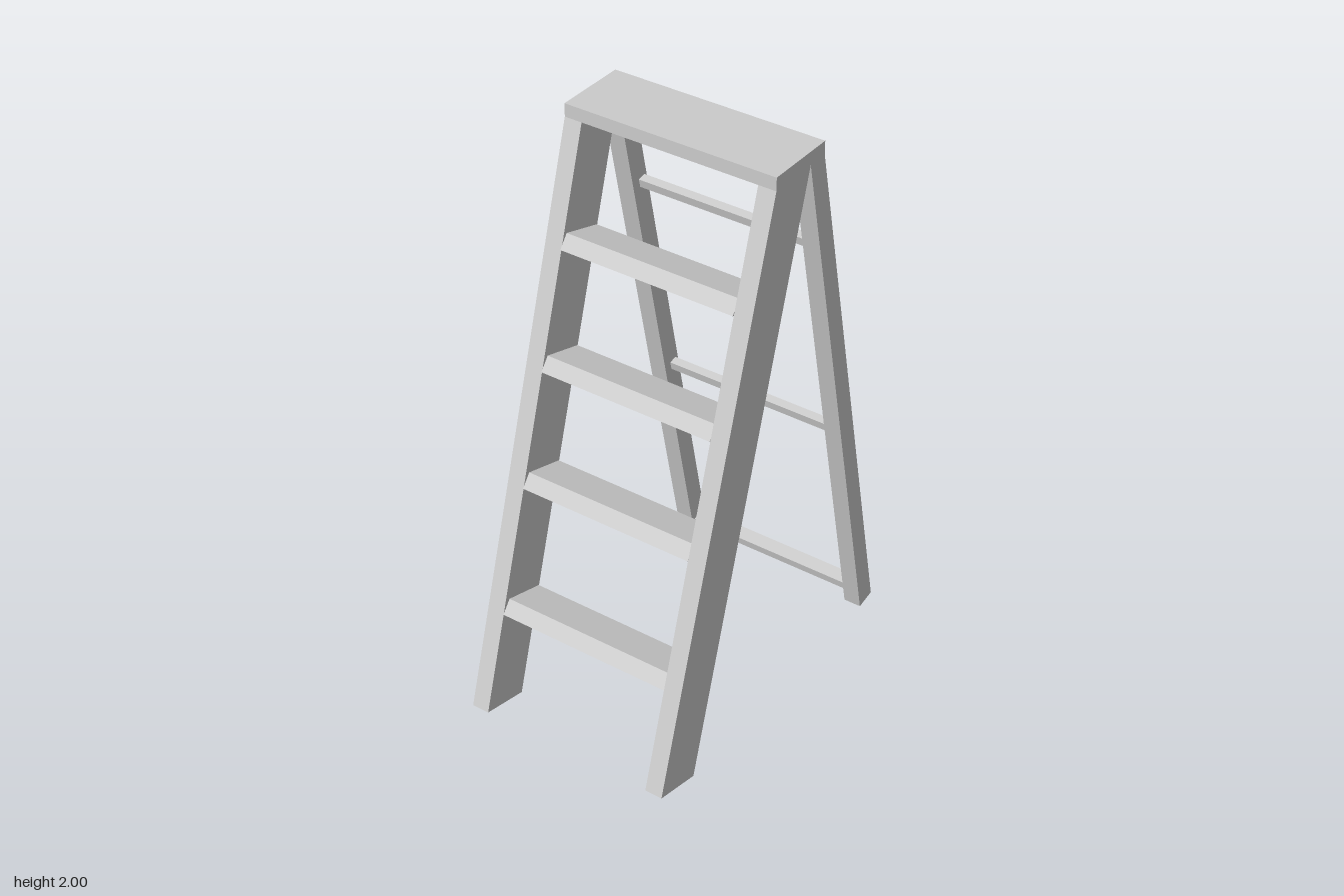
import * as THREE from 'three';

const material = new THREE.MeshStandardMaterial({ color: 0xcccccc, flatShading: true });
const OUTER = 0.375; // half the ladder's width
const RAIL = 0.062; // thickness of a side rail

// Extrude a (z, y) outline sideways, centred on x
function profile(name, points, width, x = 0) {
  const shape = new THREE.Shape(points.map(([z, y]) => new THREE.Vector2(z, y)));
  const geometry = new THREE.ExtrudeGeometry(shape, { depth: width, bevelEnabled: false });
  geometry.translate(0, 0, -width / 2).rotateY(-Math.PI / 2);
  const mesh = new THREE.Mesh(geometry, material);
  mesh.name = name;
  mesh.position.x = x;
  return mesh;
}

export function createModel() {
  const group = new THREE.Group();
  group.name = 'stepladder';
  const inner = 2 * (OUTER - RAIL);

  // Top platform
  group.add(profile('topPlatform', [[-0.205, 1.955], [0.05, 1.955], [0.05, 2], [-0.205, 2]], OUTER * 2));

  // Side rails, mirrored left and right
  for (const [side, sign] of [['left', 1], ['right', -1]]) {
    const x = sign * (OUTER - RAIL / 2);
    group.add(profile(side + 'FrontRail',
      [[0.45, 0], [0.625, 0.04], [0.05, 1.955], [-0.13, 1.955]], RAIL, x));
    group.add(profile(side + 'RearRail',
      [[-0.62, 0.026], [-0.55, 0.011], [-0.13, 1.955], [-0.205, 1.955]], RAIL, x));
  }

  // Steps: square to the front rails, with a sloped nose
  [[0.523, 0.383], [0.397, 0.81], [0.284, 1.189], [0.171, 1.573]].forEach(([z, y], i) => {
    group.add(profile('step' + (i + 1),
      [[z, y], [z - 0.034, y + 0.043], [z - 0.184, y - 0.002], [z - 0.17, y - 0.049]], inner));
  });

  // Rear crossbars, tilted with the rear rails: y, z, depth
  [[0.073, -0.577, 0.05], [0.825, -0.42, 0.03], [1.61, -0.253, 0.03]].forEach(([y, z, depth], i) => {
    const bar = new THREE.Mesh(new THREE.BoxGeometry(inner, 0.03, depth), material);
    bar.name = 'rearCrossbar' + (i + 1);
    bar.position.set(0, y, z);
    bar.rotation.x = 0.2125;
    group.add(bar);
  });

  return group;
}
